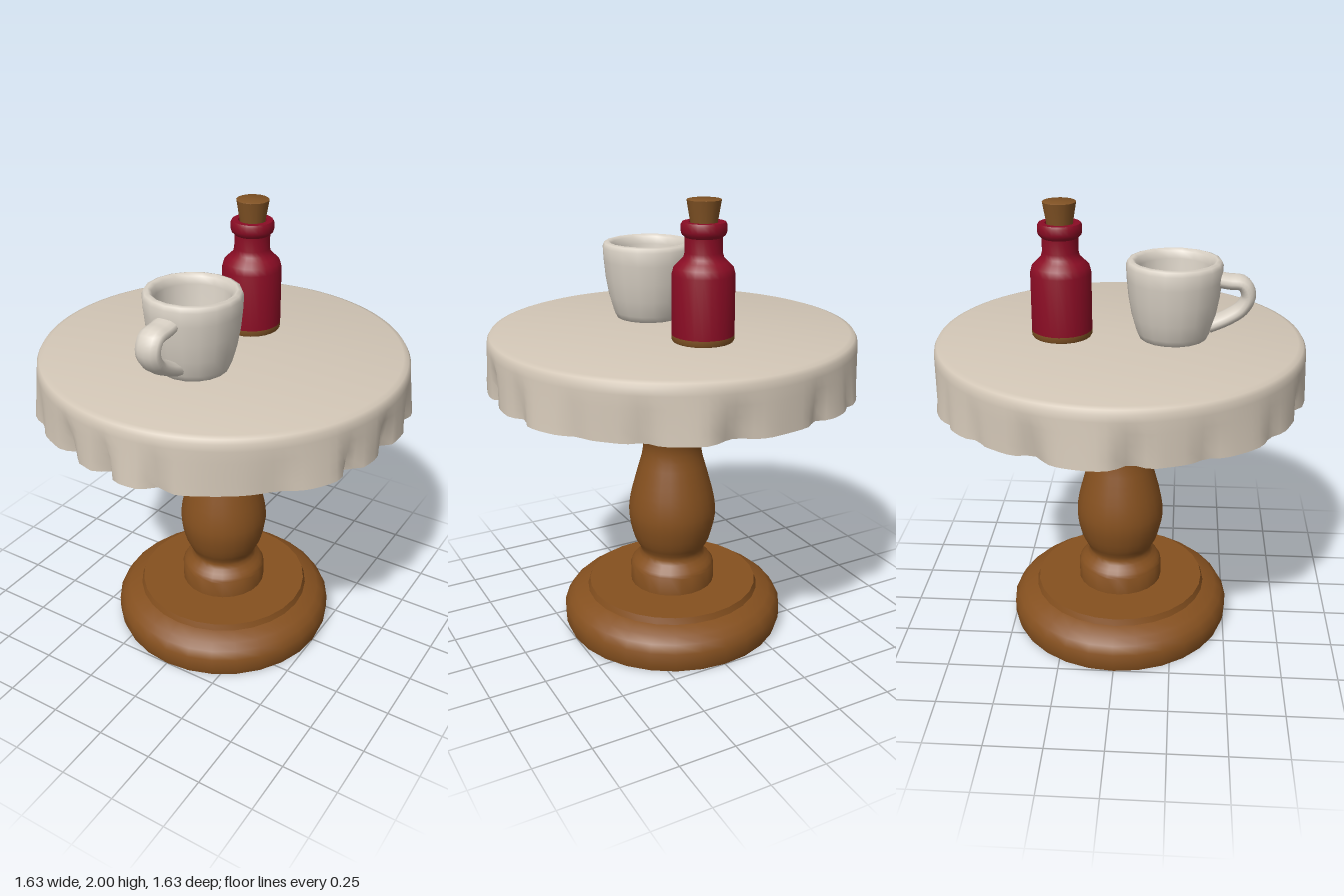
import * as THREE from 'three';
import { mergeVertices, toCreasedNormals } from 'three/addons/utils/BufferGeometryUtils.js';

const material = (name, color) => {
  const m = new THREE.MeshStandardMaterial({ color });
  m.name = name;
  return m;
};

// Turned part from [radius, y] pairs, listed from bottom to top on the outside
function turned(name, profile, mat, sides = 24, crease = 0.7, warp = null) {
  const geo = new THREE.LatheGeometry(profile.map(([r, y]) => new THREE.Vector2(r, y)), sides);
  if (warp) {
    const p = geo.attributes.position;
    for (let i = 0; i < p.count; i++) {
      const x = p.getX(i), y = p.getY(i), z = p.getZ(i);
      const k = warp(Math.atan2(x, z), y, Math.hypot(x, z));
      p.setXYZ(i, x * k, y, z * k);
    }
  }
  const mesh = new THREE.Mesh(toCreasedNormals(geo, crease), mat);
  mesh.name = name;
  return mesh;
}

// Smooth a few profile points into a curve
function smooth(points, steps) {
  const curve = new THREE.CatmullRomCurve3(points.map(([r, y]) => new THREE.Vector3(r, y, 0)), false, 'centripetal');
  return curve.getPoints(steps).map(p => [p.x, p.y]);
}

export function createModel() {
  const wood = material('wood', 0x85501f);
  const cloth = material('cloth', 0xd2c6b6);
  const china = material('china', 0xd8d0c4);
  const glass = material('red glass', 0x8a0c24);
  const cork = material('cork', 0x805224);

  const model = new THREE.Group();
  model.name = 'cafeTable';

  // Round foot
  model.add(turned('foot', [
    [0, 0], [0.5, 0], [0.51, 0.03], [0.51, 0.09], [0.49, 0.125], [0.46, 0.152],
    [0.4, 0.172], [0.39, 0.2], [0, 0.2],
  ], wood, 28));

  // Turned column
  const column = smooth([
    [0.195, 0.28], [0.185, 0.3], [0.145, 0.35], [0.175, 0.42], [0.2, 0.53], [0.193, 0.62], [0.16, 0.75],
    [0.133, 0.86], [0.145, 0.93], [0.195, 1.0], [0.2, 1.06], [0.15, 1.13], [0.125, 1.2],
  ], 36);
  model.add(turned('column', [[0.195, 0.19], ...column], wood, 24, 1));

  // Tablecloth with uneven pinched folds toward the hem
  const folds = 17;
  const fold = (angle, y, r) => {
    const drop = THREE.MathUtils.clamp((1.36 - y) / 0.18, 0, 1);
    const a = angle + 0.09 * Math.sin(3 * angle + 1) + 0.05 * Math.sin(5 * angle);
    const pinch = Math.pow(0.5 + 0.5 * Math.cos(folds * a), 4);
    const depth = 0.045 + 0.025 * Math.sin(4 * angle + 2);
    const flare = 0.006 + 0.012 * Math.sin(7 * angle + 0.6);
    return r > 0.7 ? 1 + drop * (flare - depth * pinch) : 1;
  };
  model.add(turned('tablecloth', [
    [0.808, 1.18], [0.806, 1.22], [0.804, 1.27], [0.802, 1.32], [0.8, 1.37], [0.797, 1.4],
    [0.787, 1.416], [0.765, 1.423], [0, 1.423],
  ], cloth, 136, 0.9, fold));
  model.add(turned('clothUnderside', [[0, 1.21], [0.12, 1.205], [0.25, 1.185], [0.6, 1.18], [0.808, 1.18]],
    cloth, 136, 0.9, fold));

  // Corked bottle
  const bottle = new THREE.Group();
  bottle.name = 'bottle';
  bottle.add(
    turned('bottleBase', [[0, 1.42], [0.125, 1.42], [0.131, 1.43], [0.131, 1.45]], cork),
    turned('bottleBody', [
      [0.131, 1.45], [0.13, 1.7], [0.122, 1.73], [0.1, 1.752], [0.083, 1.768], [0.077, 1.79], [0.077, 1.85],
      [0.09, 1.862], [0.094, 1.875], [0.094, 1.9], [0.088, 1.911], [0.062, 1.911], [0.055, 1.89], [0, 1.89],
    ], glass),
    turned('cork', [[0.052, 1.88], [0.056, 1.91], [0.071, 1.998], [0.068, 2], [0, 2]], cork, 16),
  );
  bottle.position.set(-0.012, 0, -0.25);
  model.add(bottle);

  // Cup with a thick rim and hollow inside
  const cup = new THREE.Group();
  cup.name = 'cup';
  cup.add(turned('cupBowl', [
    [0, 1.42], [0.145, 1.42], [0.16, 1.45], [0.18, 1.52], [0.194, 1.6], [0.202, 1.68], [0.205, 1.74],
    [0.197, 1.758], [0.18, 1.763], [0.165, 1.752], [0.158, 1.72], [0.153, 1.62], [0.13, 1.53], [0.08, 1.48], [0, 1.465],
  ], china, 18, 1.2));

  // Handle: a loop that is wider than it is thick
  const path = new THREE.CatmullRomCurve3([
    [0.17, 1.68], [0.23, 1.67], [0.29, 1.662], [0.315, 1.61], [0.29, 1.555], [0.23, 1.512], [0.15, 1.475],
  ].map(([z, y]) => new THREE.Vector3(0, y, z)));
  const tube = new THREE.TubeGeometry(path, 28, 0.032, 12, false);
  tube.scale(1.8, 1, 1);
  tube.deleteAttribute('uv');
  tube.deleteAttribute('normal');
  const handleGeo = mergeVertices(tube);
  handleGeo.computeVertexNormals();
  const handle = new THREE.Mesh(handleGeo, china);
  handle.name = 'cupHandle';
  cup.add(handle);
  cup.position.set(-0.004, 0, 0.23);
  model.add(cup);

  return model;
}
